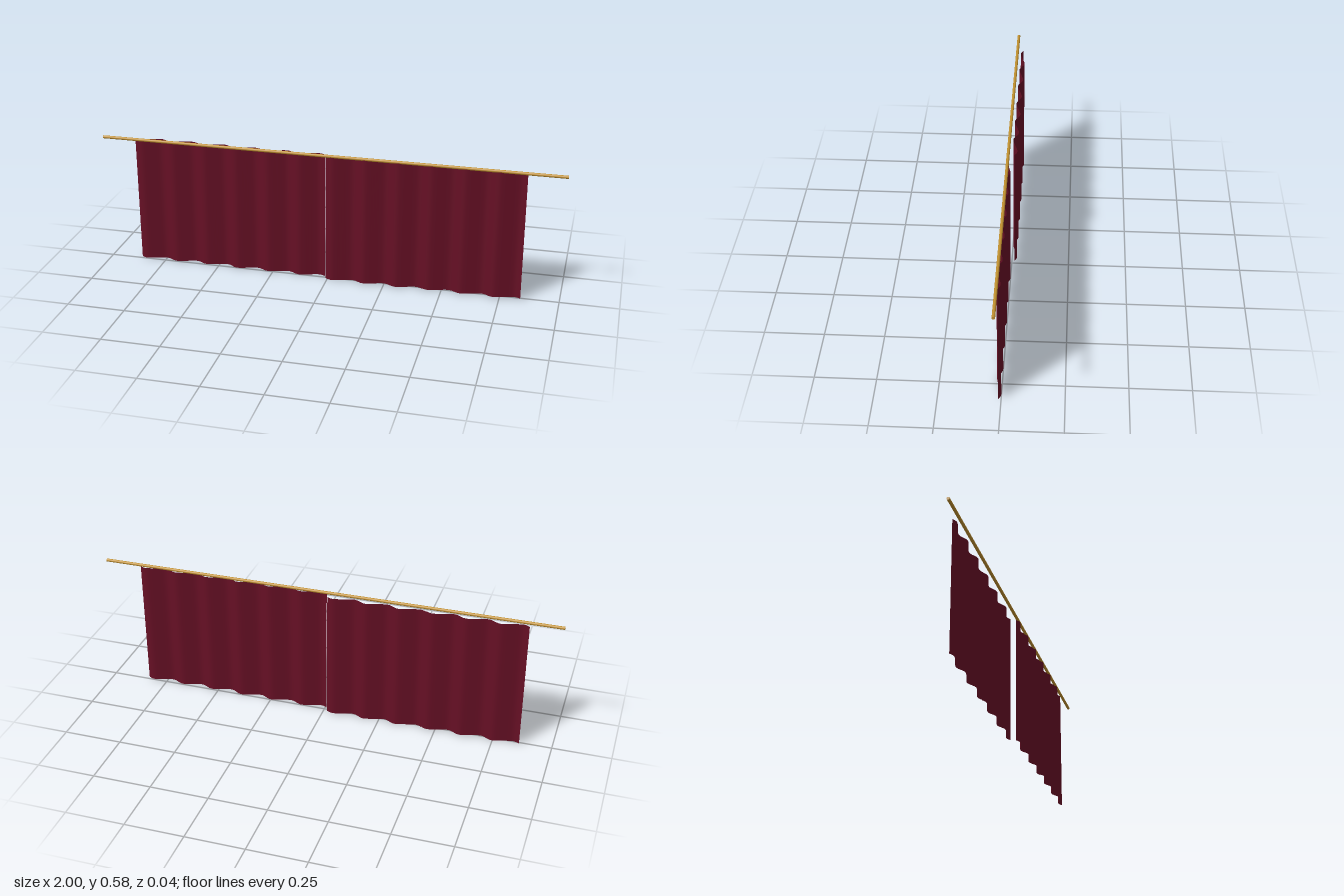
import * as THREE from 'three';

const cloth = new THREE.MeshStandardMaterial({ color: 0x650f24, side: THREE.DoubleSide });
cloth.name = 'burgundy cloth';
const gold = new THREE.MeshStandardMaterial({ color: 0xc0902f });
gold.name = 'gold rod';

// One pleated sheet: a plane whose vertices are pushed in and out in soft waves
function curtainPanel(name, x0, x1, y0, y1, zMid) {
  const width = x1 - x0, depth = 0.0105, waves = 3;
  const geo = new THREE.PlaneGeometry(width, y1 - y0, 72, 1);
  const pos = geo.attributes.position;
  for (let i = 0; i < pos.count; i++) {
    const t = pos.getX(i) / width + 0.5;
    const a = t * waves * Math.PI * 2;
    pos.setZ(i, depth * Math.sin(a + 0.35 * Math.sin(a)));
  }
  geo.computeVertexNormals();
  const mesh = new THREE.Mesh(geo, cloth);
  mesh.name = name;
  mesh.position.set((x0 + x1) / 2, (y0 + y1) / 2, zMid);
  return mesh;
}

export function createModel() {
  const group = new THREE.Group();
  group.name = 'curtain';

  // Rod across the full width
  const rod = new THREE.Mesh(new THREE.CylinderGeometry(0.0065, 0.0065, 2, 16), gold);
  rod.name = 'curtainRod';
  rod.rotation.z = Math.PI / 2;
  rod.position.set(0, 0.573, 0.0155);
  group.add(rod);

  // Rear pair on the right half, front pair on the left half
  group.add(
    curtainPanel('rightOuterPanel', -0.863, -0.439, 0.002, 0.571, -0.011),
    curtainPanel('rightInnerPanel', -0.439, -0.016, 0, 0.569, -0.011),
    curtainPanel('leftInnerPanel', -0.007, 0.416, 0.001, 0.57, 0.011),
    curtainPanel('leftOuterPanel', 0.416, 0.838, 0.003, 0.57, 0.011),
  );
  return group;
}
